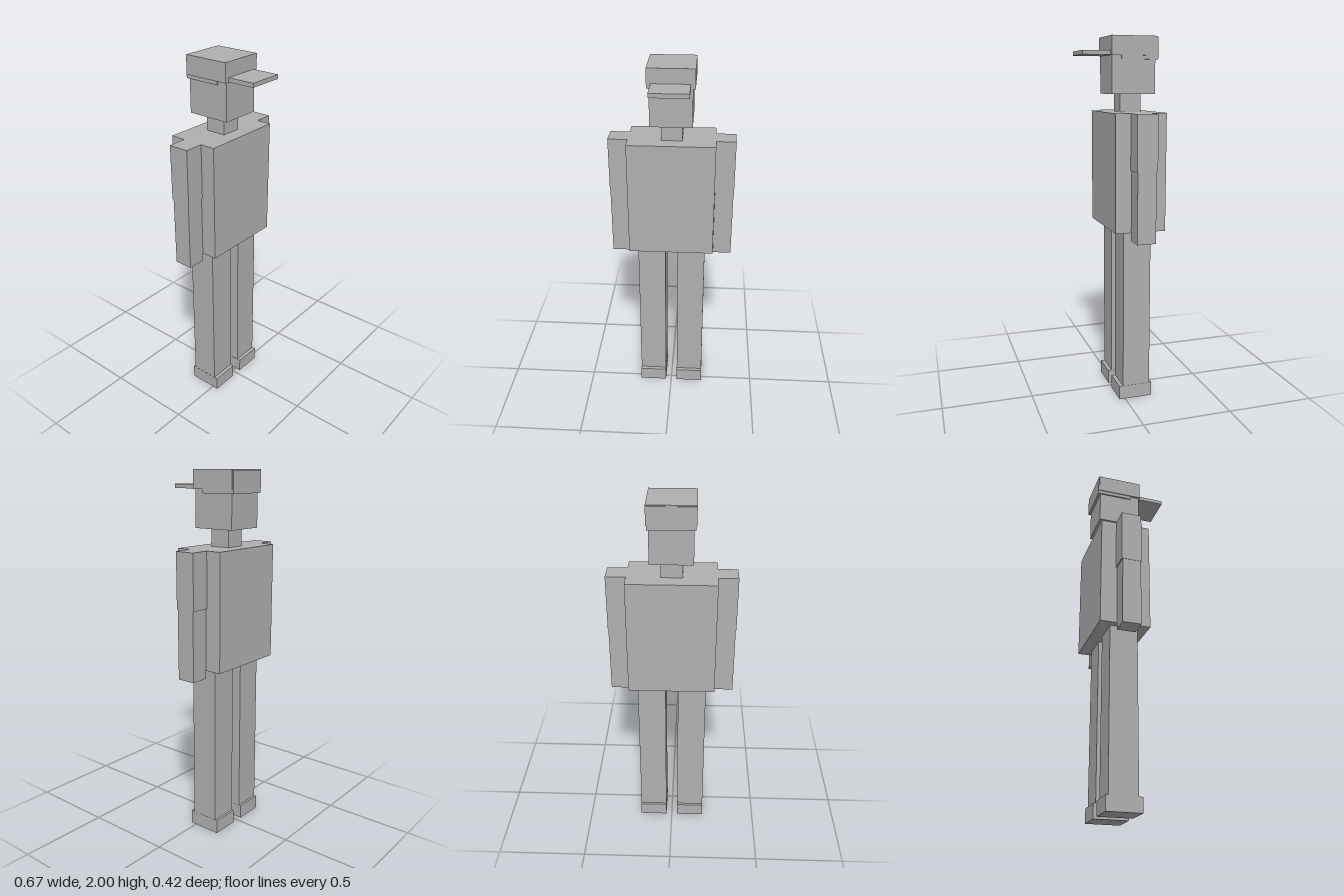
import * as THREE from 'three';

export function createModel() {
  const model = new THREE.Group();
  model.name = 'cappedFigure';
  const grey = new THREE.MeshStandardMaterial({ color: 0xb0b0b0 });
  grey.name = 'plain grey';

  // Box given by its limits on each axis
  function block(name, [x0, x1], [y0, y1], [z0, z1]) {
    const mesh = new THREE.Mesh(new THREE.BoxGeometry(x1 - x0, y1 - y0, z1 - z0), grey);
    mesh.position.set((x0 + x1) / 2, (y0 + y1) / 2, (z0 + z1) / 2);
    mesh.name = name;
    model.add(mesh);
  }
  // The same block on both sides of the body
  function pair(name, [x0, x1], y, z) {
    block('left' + name, [x0, x1], y, z);
    block('right' + name, [-x1, -x0], y, z);
  }

  // Body
  block('torso', [-0.232, 0.232], [0.973, 1.604], [-0.21, 0.07]);
  block('neck', [-0.056, 0.056], [1.604, 1.7], [-0.125, -0.01]);
  block('head', [-0.11, 0.11], [1.7, 1.9], [-0.188, 0.053]);

  // Arms, slightly slimmer below the sleeve
  pair('UpperArm', [0.232, 0.337], [1.308, 1.604], [-0.125, -0.012]);
  pair('Forearm', [0.234, 0.335], [0.93, 1.308], [-0.119, -0.016]);

  // Legs and shoes
  pair('Leg', [0.034, 0.188], [0.078, 0.973], [-0.143, 0.012]);
  pair('Shoe', [0.033, 0.189], [0, 0.078], [-0.156, 0.033]);

  // Cap with a lower band round the back, and a flat peak
  block('capCrown', [-0.122, 0.122], [1.9, 2], [-0.197, 0.057]);
  block('capBand', [-0.117, 0.117], [1.88, 1.995], [-0.202, 0]);
  block('capPeak', [-0.1, 0.098], [1.902, 1.924], [0.05, 0.208]);

  return model;
}
